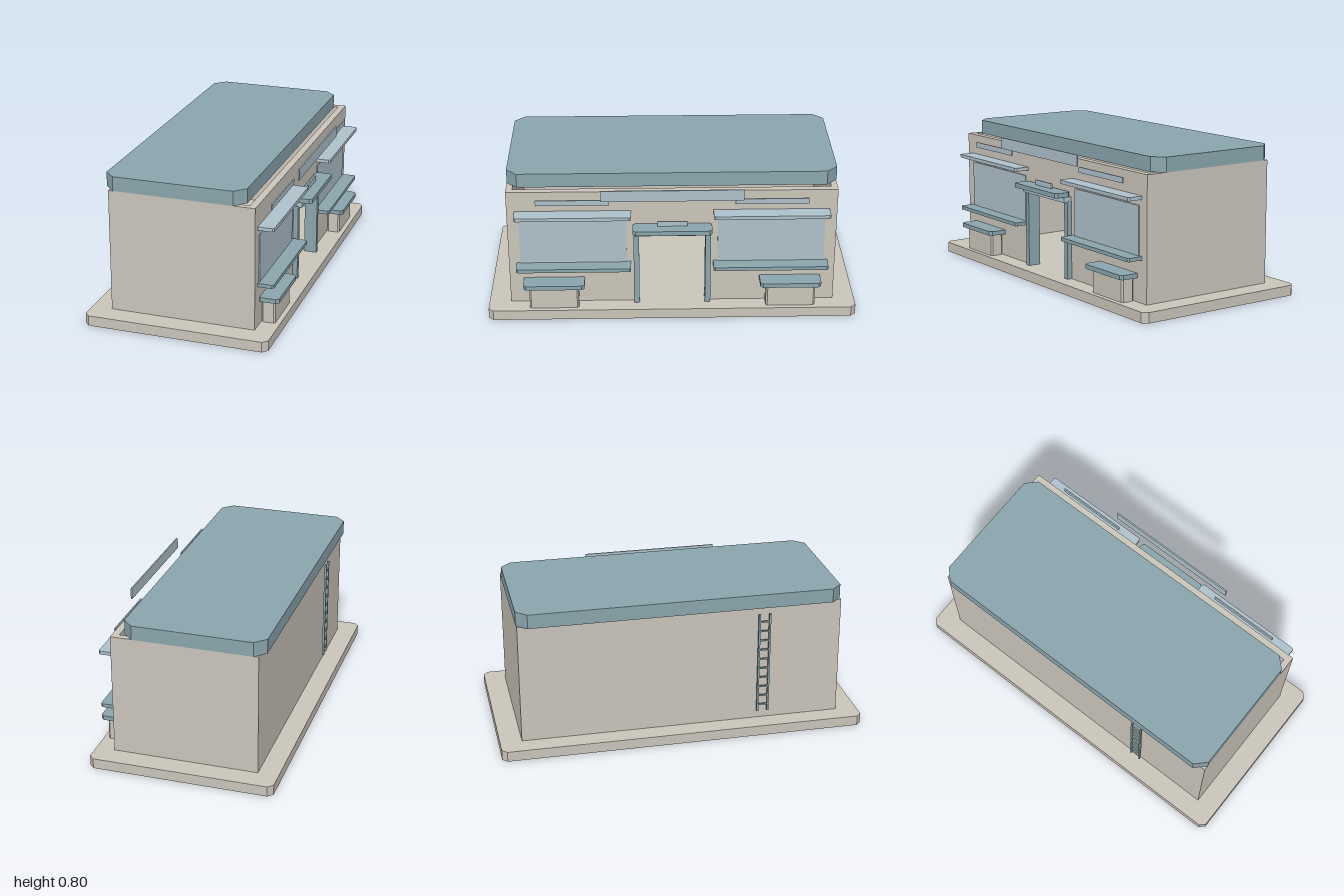
import * as THREE from 'three';

const mat = (name, color) => {
  const m = new THREE.MeshStandardMaterial({ color });
  m.name = name;
  return m;
};

export function createModel() {
  const model = new THREE.Group();
  model.name = 'shopBuilding';
  const stone = mat('beigeStone', 0xcac5ba);
  const teal = mat('tealTrim', 0x8aa5ad);
  const pale = mat('paleBlue', 0xaec1cb);

  const add = (name, geometry, material, parent = model) => {
    const mesh = new THREE.Mesh(geometry, material);
    mesh.name = name;
    parent.add(mesh);
    return mesh;
  };

  // Box given by its min and max along each axis
  const box = (name, [x0, x1], [y0, y1], [z0, z1], material, parent) => {
    const mesh = add(name, new THREE.BoxGeometry(x1 - x0, y1 - y0, z1 - z0), material, parent);
    mesh.position.set((x0 + x1) / 2, (y0 + y1) / 2, (z0 + z1) / 2);
    return mesh;
  };

  // Upright slab with its four vertical corners cut by c
  const slab = (name, [x0, x1], [y0, y1], [z0, z1], c, material, parent) => {
    const shape = new THREE.Shape([
      [x0 + c, -z1], [x1 - c, -z1], [x1, -z1 + c], [x1, -z0 - c],
      [x1 - c, -z0], [x0 + c, -z0], [x0, -z0 - c], [x0, -z1 + c],
    ].map(([x, y]) => new THREE.Vector2(x, y)));
    const geo = new THREE.ExtrudeGeometry(shape, { depth: y1 - y0, bevelEnabled: false });
    geo.rotateX(-Math.PI / 2);
    geo.translate(0, y0, 0);
    return add(name, geo, material, parent);
  };

  // Plinth and roof
  slab('plinth', [-0.5, 0.5], [0, 0.056], [-1, 1], 0.027, stone);
  slab('roof', [-0.42, 0.338], [0.722, 0.8], [-0.885, 0.882], 0.057, teal);

  // Hollow walls
  const walls = new THREE.Group();
  walls.name = 'walls';
  model.add(walls);
  const wallY = [0.056, 0.722];
  box('backWall', [-0.39, -0.355], wallY, [-0.882, 0.882], stone, walls);
  for (const s of [-1, 1]) {
    const z = [0.848 * s, 0.882 * s].sort((a, b) => a - b);
    box('endWall', [-0.355, 0.36], wallY, z, stone, walls);
  }

  // Shop front wall with the door opening
  const front = new THREE.Shape([
    [-0.882, 0.056], [-0.2, 0.056], [-0.2, 0.485], [0.2, 0.485],
    [0.2, 0.056], [0.882, 0.056], [0.882, 0.722], [-0.882, 0.722],
  ].map(([x, y]) => new THREE.Vector2(x, y)));
  const frontGeo = new THREE.ExtrudeGeometry(front, { depth: 0.038, bevelEnabled: false });
  frontGeo.rotateY(Math.PI / 2);
  frontGeo.translate(0.36, 0, 0);
  add('shopFrontWall', frontGeo, stone, walls);

  // Door frame and canopy
  const door = new THREE.Group();
  door.name = 'doorway';
  model.add(door);
  for (const s of [-1, 1]) {
    const z = [0.178 * s, 0.208 * s].sort((a, b) => a - b);
    box('doorPost', [0.354, 0.425], [0.056, 0.484], z, teal, door);
  }
  box('lintel', [0.39, 0.445], [0.477, 0.506], [-0.205, 0.205], pale, door);
  box('canopyBracket', [0.4, 0.455], [0.5, 0.509], [-0.165, 0.165], teal, door);
  slab('canopy', [0.405, 0.5], [0.508, 0.533], [-0.212, 0.212], 0.015, teal, door);
  box('doorSign', [0.436, 0.443], [0.535, 0.563], [-0.08, 0.08], pale, door);

  // Window bays with shelves and benches, mirrored about the door
  for (const s of [-1, 1]) {
    const bay = new THREE.Group();
    bay.name = s > 0 ? 'frontBay' : 'rearBay';
    model.add(bay);
    const span = (a, b) => (s > 0 ? [a, b] : [-b, -a]);
    box('windowPane', [0.396, 0.404], [0.29, 0.558], span(0.245, 0.82), pale, bay);
    slab('awning', [0.385, 0.483], [0.59, 0.609], span(0.22, 0.84), 0.009, pale, bay);
    slab('windowSill', [0.385, 0.483], [0.28, 0.3], span(0.222, 0.84), 0.009, teal, bay);
    slab('benchSeat', [0.385, 0.5], [0.182, 0.206], span(0.475, 0.805), 0.015, teal, bay);
    slab('benchBase', [0.399, 0.473], [0.056, 0.182], span(0.508, 0.775), 0.009, stone, bay);
    box('signStrip', [0.43, 0.437], [0.66, 0.69], span(0.335, 0.725), pale, bay);
  }

  // Main sign board
  box('signBoard', [0.468, 0.476], [0.7, 0.762], [-0.377, 0.377], pale);

  // Ladder on the back wall
  const ladder = new THREE.Group();
  ladder.name = 'ladder';
  model.add(ladder);
  for (const z of [0.42, 0.478]) {
    box('ladderRail', [-0.418, -0.406], [0.107, 0.683], [z - 0.005, z + 0.005], teal, ladder);
  }
  for (let i = 0; i < 10; i++) {
    const y = 0.145 + i * 0.055;
    box('ladderRung', [-0.416, -0.408], [y - 0.004, y + 0.004], [0.42, 0.478], teal, ladder);
  }

  return model;
}
